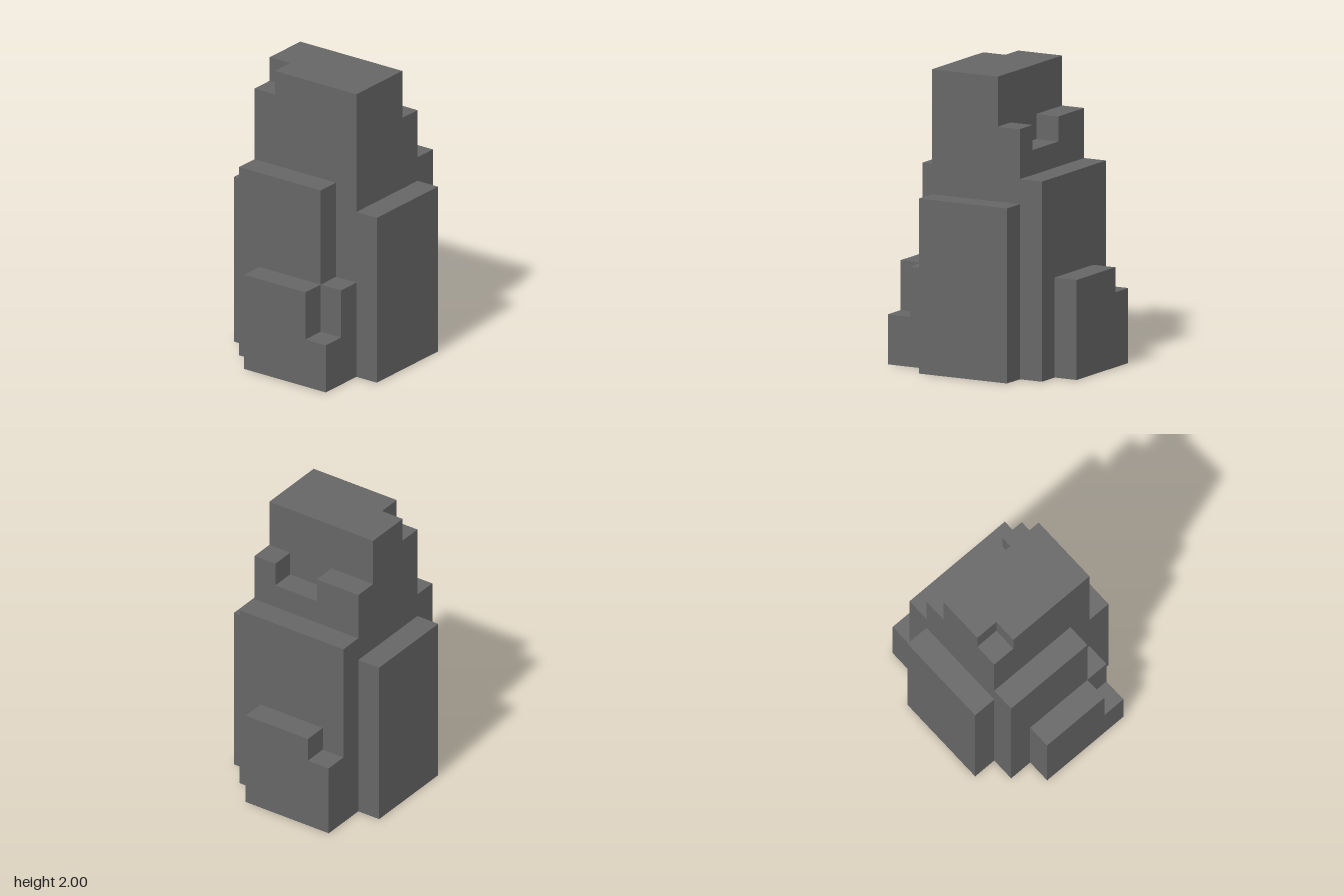
import * as THREE from 'three';

const U = 1 / 6; // block size

export function createModel() {
  const group = new THREE.Group();
  const stone = new THREE.MeshStandardMaterial({ color: 0x666666 });
  stone.name = 'darkGreyStone';

  const add = (name, geometry) => {
    const mesh = new THREE.Mesh(geometry, stone);
    mesh.name = name;
    group.add(mesh);
  };

  // Box between two corners, in blocks
  const box = (name, [x0, y0, z0], [x1, y1, z1]) => {
    const g = new THREE.BoxGeometry((x1 - x0) * U, (y1 - y0) * U, (z1 - z0) * U);
    g.translate((x0 + x1) / 2 * U, (y0 + y1) / 2 * U, (z0 + z1) / 2 * U);
    add(name, g);
  };

  // Outline in blocks, extruded along its own z
  const extrude = (points, depth) => {
    const shape = new THREE.Shape(points.map(([a, b]) => new THREE.Vector2(a * U, b * U)));
    return new THREE.ExtrudeGeometry(shape, { depth: depth * U, bevelEnabled: false });
  };

  // Upright slab: outline in x, y, one block deep from z
  const slab = (name, points, z) => add(name, extrude(points, 1).translate(0, 0, z * U));

  // Tower core: side profile in (-z, y) with a ledge at the back
  const core = extrude([[-2, 0], [2, 0], [2, 9], [1, 9], [1, 11], [-2, 11]], 5);
  core.rotateY(Math.PI / 2).translate(-2.5 * U, 0, 0);
  add('towerCore', core);

  // Top course: plan in (x, -z) with one front corner missing
  const top = extrude([[-1.5, -2], [2.5, -2], [2.5, 1], [-2.5, 1], [-2.5, -1], [-1.5, -1]], 1);
  top.rotateX(-Math.PI / 2).translate(0, 11 * U, 0);
  add('topCourse', top);

  // Raised blocks on the back ledge
  box('ledgeBlockLeft', [1.5, 9, -2], [2.5, 10, -1]);
  box('ledgeBlockRight', [-2.5, 9, -2], [-0.5, 10, -1]);

  // Side buttresses
  box('buttressLeft', [2.5, 0, -2], [3.5, 7, 2]);
  box('buttressRight', [-3.5, 0, -2], [-2.5, 7, 2]);

  // Front steps
  slab('frontUpperStep', [[-2.5, 0], [2.5, 0], [2.5, 4], [1.5, 4], [1.5, 8], [-2.5, 8]], 2);
  slab('frontLowerStep', [[-1.5, 0], [2.5, 0], [2.5, 2], [1.5, 2], [1.5, 4], [-1.5, 4]], 3);

  // Back steps
  box('backUpperStep', [-2.5, 0, -3], [2.5, 8, -2]);
  slab('backLowerStep', [[-2.5, 0], [1.5, 0], [1.5, 4], [-1.5, 4], [-1.5, 3], [-2.5, 3]], -4);

  return group;
}
